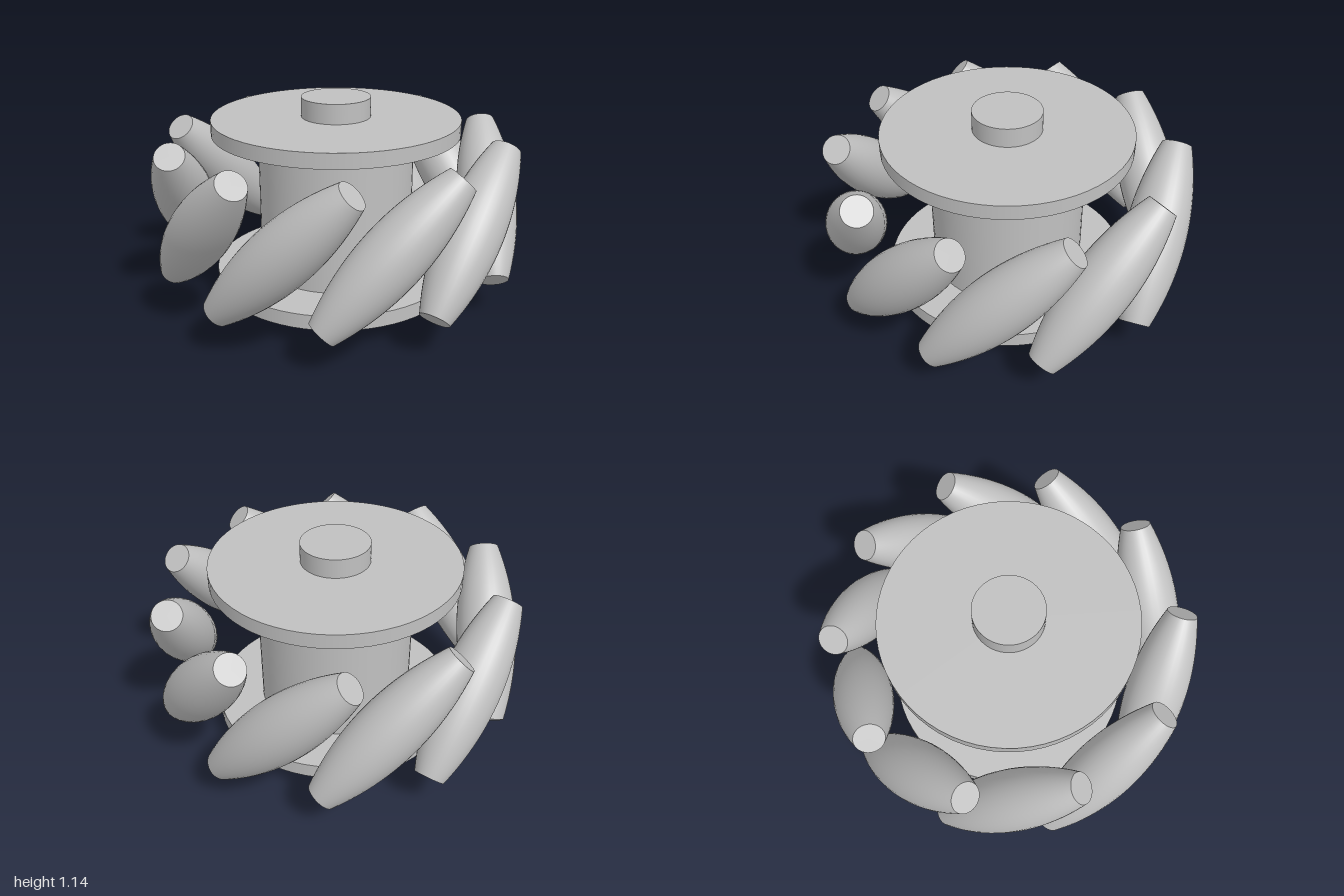
import * as THREE from 'three';

const ROLLERS = 10;
const MID_Y = 0.572;

// Barrel: a cylinder swelling parabolically from its flat ends to the middle
function barrelGeometry(endR, midR, length) {
  const radial = 32, rows = 20, half = length / 2;
  const geo = new THREE.CylinderGeometry(endR, endR, length, radial, rows);
  const pos = geo.attributes.position, nor = geo.attributes.normal;
  const sideCount = (radial + 1) * (rows + 1);
  const n = new THREE.Vector3();
  for (let i = 0; i < sideCount; i++) {
    const y = pos.getY(i), t = y / half;
    const r = endR + (midR - endR) * (1 - t * t);
    const slope = -2 * (midR - endR) * t / half;
    const cx = pos.getX(i) / endR, cz = pos.getZ(i) / endR;
    pos.setXYZ(i, cx * r, y, cz * r);
    n.set(cx, -slope, cz).normalize();
    nor.setXYZ(i, n.x, n.y, n.z);
  }
  return geo;
}

export function createModel() {
  const model = new THREE.Group();
  model.name = 'rollerWheel';
  const grey = new THREE.MeshStandardMaterial({ color: 0xc0c0c0 });
  grey.name = 'grey';

  const cylinder = (name, r, y0, y1) => {
    const mesh = new THREE.Mesh(new THREE.CylinderGeometry(r, r, y1 - y0, 64), grey);
    mesh.name = name;
    mesh.position.y = (y0 + y1) / 2;
    model.add(mesh);
  };

  // Hub drum between two side plates, with axle stubs at both ends
  cylinder('hub', 0.42, 0.19, 0.957);
  cylinder('lowerPlate', 0.667, 0.11, 0.19);
  cylinder('upperPlate', 0.667, 0.957, 1.037);
  cylinder('lowerAxle', 0.186, 0, 0.11);
  cylinder('upperAxle', 0.186, 1.037, 1.144);

  // Ring of barrel rollers, each tilted 45 degrees to the axle
  const barrel = barrelGeometry(0.08, 0.162, 0.974);
  for (let i = 0; i < ROLLERS; i++) {
    const mount = new THREE.Group();
    mount.name = 'rollerMount' + (i + 1);
    mount.rotation.y = (i * Math.PI * 2) / ROLLERS;
    const roller = new THREE.Mesh(barrel, grey);
    roller.name = 'roller' + (i + 1);
    roller.position.set(0, MID_Y, 0.835);
    roller.rotation.z = -Math.PI / 4;
    mount.add(roller);
    model.add(mount);
  }
  return model;
}
